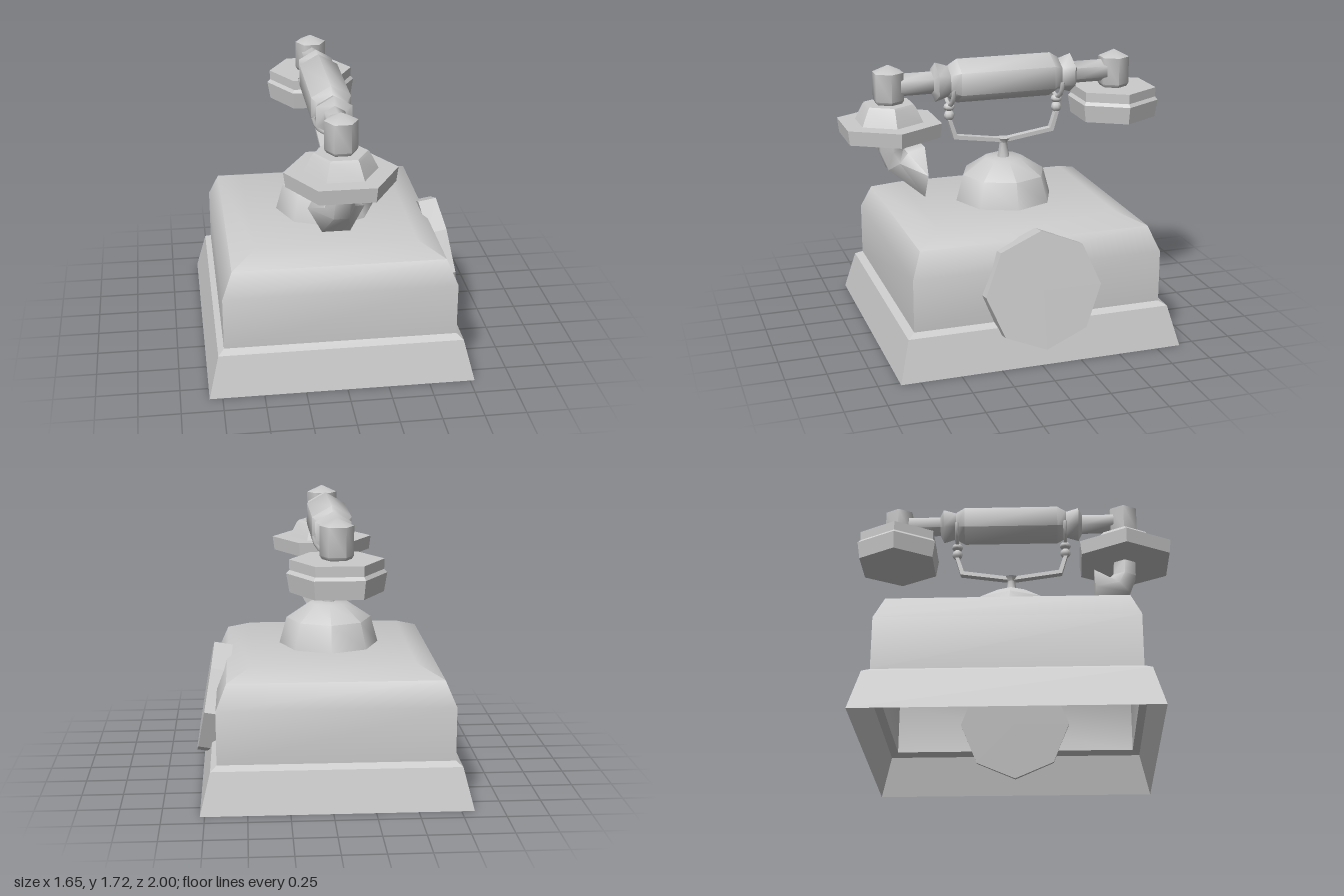
import * as THREE from 'three';
import { toCreasedNormals } from 'three/addons/utils/BufferGeometryUtils.js';

const CX = -0.025, CZ = -0.017;
const HANDSET_Y = 1.585;
const rad = THREE.MathUtils.degToRad;
const material = new THREE.MeshStandardMaterial({ color: 0xcccccc, side: THREE.DoubleSide });

function part(parent, name, geometry, x = 0, y = 0, z = 0) {
  const mesh = new THREE.Mesh(geometry, material);
  mesh.name = name;
  mesh.position.set(x, y, z);
  parent.add(mesh);
  return mesh;
}

// Turned shape from [radius, height] pairs; start turns the first corner
function turned(profile, sides, start, crease) {
  const points = profile.map(([r, y]) => new THREE.Vector2(r, y));
  return toCreasedNormals(new THREE.LatheGeometry(points, sides, start), rad(crease));
}

// Skin over equal-sized rings of corners, with an optional cap on the last one
function loft(rings, crease, capped) {
  const n = rings[0].length;
  const index = [];
  for (let i = 0; i < rings.length - 1; i++) {
    for (let j = 0; j < n; j++) {
      const a = i * n + j, b = i * n + (j + 1) % n;
      index.push(a, b, b + n, a, b + n, a + n);
    }
  }
  const last = (rings.length - 1) * n;
  if (capped) for (let j = 1; j < n - 1; j++) index.push(last, last + j, last + j + 1);
  const geometry = new THREE.BufferGeometry().setFromPoints(rings.flat());
  geometry.setIndex(index);
  return toCreasedNormals(geometry, rad(crease));
}

const rectRing = ([hx, hz, y]) =>
  [[1, 1], [1, -1], [-1, -1], [-1, 1]].map(([sx, sz]) => new THREE.Vector3(sx * hx, y, sz * hz));

// Six-sided ring from its outer and inner points [z, y] and its half width
function hornRing([z0, y0, z1, y1, halfX]) {
  const ring = [];
  for (let i = 0; i < 6; i++) {
    const a = i * Math.PI / 3, s = Math.sin(a) / Math.sin(Math.PI / 3) / 2;
    ring.push(new THREE.Vector3(Math.cos(a) * halfX,
      (y0 + y1) / 2 + (y0 - y1) * s, (z0 + z1) / 2 + (z0 - z1) * s));
  }
  return ring;
}

export function createModel() {
  const model = new THREE.Group();
  model.name = 'telephone';

  // Body: hollow plinth and rounded housing, open underneath
  const plinth = [[0.803, 0.885, 0], [0.74, 0.82, 0.25], [0.703, 0.776, 0.275]];
  const housing = [[0.703, 0.776, 0.275], [0.703, 0.776, 0.6], [0.64, 0.716, 0.75], [0.488, 0.558, 0.815]];
  part(model, 'plinth', loft(plinth.map(rectRing), 30, false), CX, 0, CZ);
  part(model, 'housing', loft(housing.map(rectRing), 50, true), CX, 0, CZ);

  // Dial: tilted eight-sided disc on the left side
  const dial = part(model, 'dial',
    turned([[0, -0.117], [0.36, -0.117], [0.36, 0], [0, 0]], 8, Math.PI / 2, 20), 0.757, 0.47, CZ);
  dial.rotation.z = rad(-80);

  // Dome and neck carrying the cradle
  part(model, 'dome', turned([[0.31, 0.815], [0.265, 0.978], [0.12, 1.075], [0, 1.08]], 8, 0, 50), CX, 0, CZ);
  part(model, 'neck',
    turned([[0.042, 1.06], [0.024, 1.17], [0.045, 1.2], [0, 1.205]], 8, 0, 50), CX, 0, CZ);

  // Cradle: one bent strip, mirrored about the neck
  const cradle = new THREE.Group();
  cradle.name = 'cradle';
  cradle.position.set(CX, 0, CZ);
  model.add(cradle);
  const upper = [[0.035, 1.203], [0.305, 1.243], [0.338, 1.345]];
  const lower = [[0.362, 1.345], [0.326, 1.22], [0.035, 1.178]];
  const half = [...upper, ...lower];
  const outline = [...half, ...half.map(([z, y]) => [-z, y]).reverse()];
  const strip = new THREE.ExtrudeGeometry(
    new THREE.Shape(outline.map(([z, y]) => new THREE.Vector2(z, y))),
    { depth: 0.045, bevelEnabled: false });
  strip.translate(0, 0, -0.0225).rotateY(Math.PI / 2);
  part(cradle, 'cradleArms', strip);

  // Knobs and forks at both ends of the cradle
  for (const side of [1, -1]) {
    const z = side * 0.35;
    part(cradle, 'lowerKnob', new THREE.SphereGeometry(0.034, 8, 6), 0, 1.372, z);
    part(cradle, 'upperKnob', new THREE.SphereGeometry(0.037, 8, 6), 0, 1.425, z).scale.y = 0.7;
    const fork = part(cradle, 'fork', new THREE.TorusGeometry(0.11, 0.014, 6, 8, Math.PI), 0, 1.55, z);
    fork.rotation.z = Math.PI;
  }

  // Handset grip: one symmetric six-sided turning laid along z
  const grip = [[0.07, 0.68], [0.07, 0.46], [0.123, 0.437], [0.097, 0.358], [0.105, 0.352], [0.137, 0.3]];
  const gripProfile = [...grip.map(([r, t]) => [r, -t]), ...grip.slice().reverse()];
  gripProfile[0] = [0.07, -0.68];
  gripProfile.splice(1, 1, [0.07, -0.46], [0.075, -0.46]);
  part(model, 'handsetGrip', turned(gripProfile, 6, 0, 62).rotateX(Math.PI / 2), CX, HANDSET_Y, CZ);

  // Pointed end caps
  const cap = turned([[0, 1.475], [0.082, 1.475], [0.098, 1.5], [0.098, 1.67], [0, 1.715]], 6, Math.PI / 2, 62);
  const FRONT_Z = 0.712, BACK_Z = -0.75;
  part(model, 'frontCap', cap, CX, 0, FRONT_Z);
  part(model, 'backCap', cap, CX, 0, BACK_Z);

  // Mouthpiece: flat rim with a bell above it
  part(model, 'mouthpiece', turned([[0, 1.28], [0.32, 1.28], [0.332, 1.37], [0.216, 1.37],
    [0.168, 1.465], [0.155, 1.48], [0, 1.48]], 6, Math.PI / 2, 30), CX, 0, FRONT_Z);

  // Speaking horn curving back under the mouthpiece
  const horn = [
    [0.778, 1.29, 0.642, 1.29, 0.081], [0.778, 1.185, 0.638, 1.195, 0.081],
    [0.733, 1.068, 0.61, 1.165, 0.088], [0.517, 0.888, 0.513, 1.207, 0.17],
  ];
  part(model, 'horn', loft(horn.map(hornRing), 62, true), CX, 0, 0);

  // Earpiece: stepped disc
  part(model, 'earpiece', turned([[0, 1.29], [0.27, 1.29], [0.288, 1.4], [0.27, 1.42],
    [0.272, 1.48], [0, 1.48]], 6, Math.PI / 2, 30), CX, 0, BACK_Z);

  return model;
}
